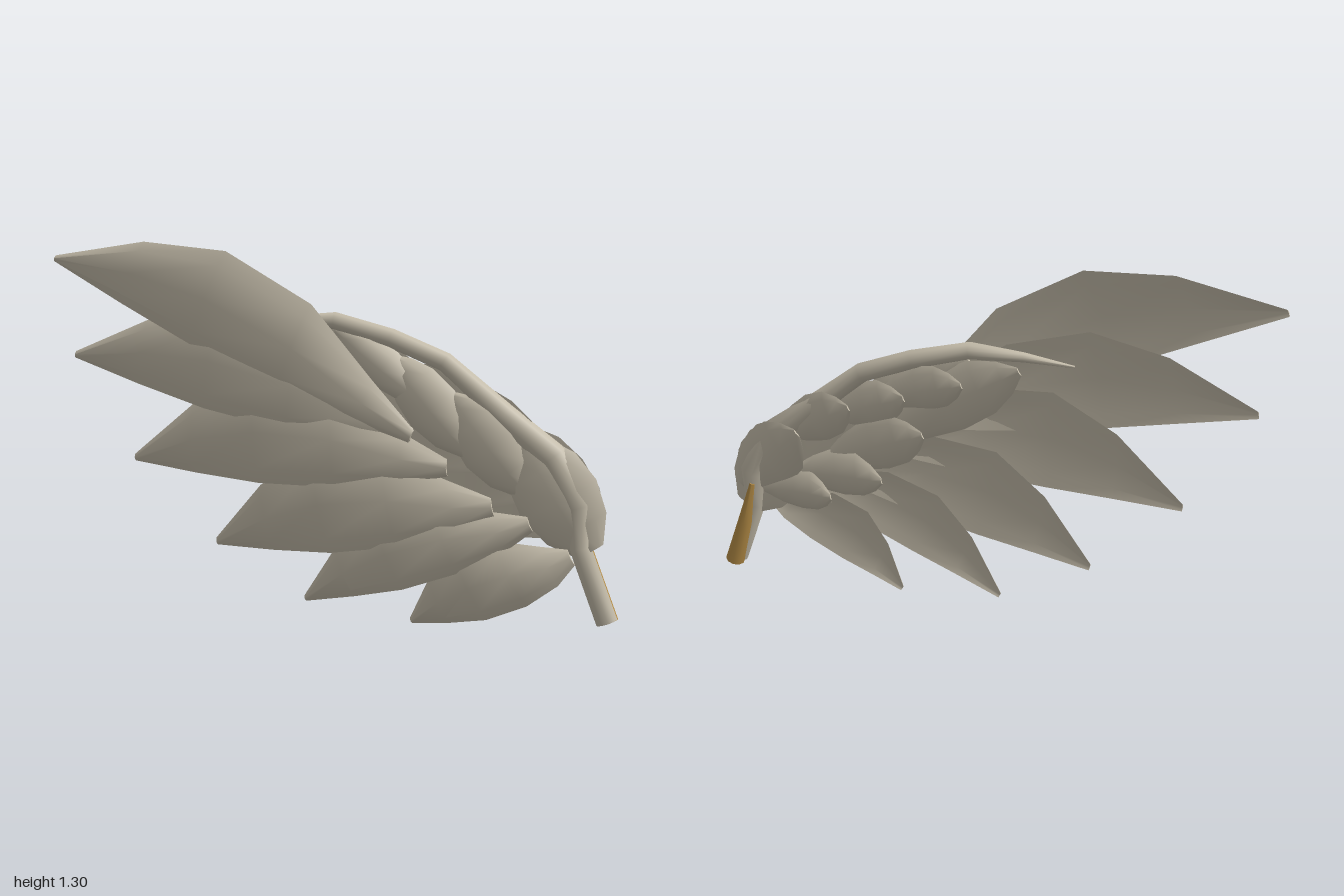
import * as THREE from 'three';
import { toCreasedNormals } from 'three/addons/utils/BufferGeometryUtils.js';

const V = (x, y, z) => new THREE.Vector3(x, y, z);

// Skin a list of equal-sized rings and close both ends
function loft(rings, crease) {
  const n = rings[0].length, pos = [], idx = [];
  rings.forEach(r => r.forEach(p => pos.push(p.x, p.y, p.z)));
  for (let i = 0; i < rings.length - 1; i++) {
    for (let j = 0; j < n; j++) {
      const a = i * n + j, b = i * n + (j + 1) % n;
      idx.push(a, b, a + n, b, b + n, a + n);
    }
  }
  [0, rings.length - 1].forEach((i, end) => {
    const c = rings[i].reduce((s, p) => s.add(p), V(0, 0, 0)).divideScalar(n);
    const k = pos.length / 3;
    pos.push(c.x, c.y, c.z);
    for (let j = 0; j < n; j++) {
      const a = i * n + j, b = i * n + (j + 1) % n;
      if (end) idx.push(k, a, b); else idx.push(k, b, a);
    }
  });
  const g = new THREE.BufferGeometry();
  g.setAttribute('position', new THREE.Float32BufferAttribute(pos, 3));
  g.setIndex(idx);
  return toCreasedNormals(g, crease);
}

// Outline profiles: [position along the feather, upper width, lower width, thickness]
const LONG = [[0, 0.1, 0.4, 0.5], [0.13, 0.4, 0.8, 0.8], [0.33, 0.88, 1, 1],
  [0.57, 1, 0.9, 1], [0.78, 0.68, 0.55, 0.8], [1, 0.06, 0.12, 0.3]];
const SHORT = [[0, 0.35, 0.35, 0.5], [0.2, 0.8, 0.8, 0.9], [0.45, 1, 1, 1],
  [0.7, 0.9, 0.9, 0.9], [0.88, 0.55, 0.55, 0.6], [1, 0.14, 0.14, 0.2]];

// Leaf-shaped feather lofted from root to tip, bowed and cambered in z
function feather(root, tip, up, low, { profile, bow, front, back, camber }) {
  const d = V(tip.x - root.x, tip.y - root.y, 0).normalize();
  const side = V(-d.y, d.x, 0);
  const rings = profile.map(([t, u, l, h]) => {
    const c = root.clone().lerp(tip, t);
    c.z += bow * Math.sin(Math.PI * t);
    const mid = (l * low - u * up) / 2, half = (l * low + u * up) / 2;
    return Array.from({ length: 8 }, (_, j) => {
      const a = j * Math.PI / 4, s = Math.cos(a), b = Math.sin(a);
      const p = c.clone().addScaledVector(side, mid + half * s);
      p.z += h * (b * (b > 0 ? front : back) - camber * s * s);
      return p;
    });
  });
  return loft(rings, 0.9);
}

// Tapered limb through points [x, y, z, radius]
function limb(points, sides) {
  const pts = points.map(p => V(p[0], p[1], p[2]));
  const rings = pts.map((p, i) => {
    const d = pts[Math.min(i + 1, pts.length - 1)].clone().sub(pts[Math.max(i - 1, 0)]).normalize();
    const n = V(-d.y, d.x, 0).normalize();
    const b = d.clone().cross(n);
    return Array.from({ length: sides }, (_, j) => {
      const a = j * 2 * Math.PI / sides, r = points[i][3];
      return p.clone().addScaledVector(n, r * Math.cos(a)).addScaledVector(b, r * Math.sin(a));
    });
  });
  return loft(rings, 0.9);
}

export function createModel() {
  const wing = new THREE.Group();
  wing.name = 'wing';
  const plumage = new THREE.MeshStandardMaterial({ color: 0xc4bcaa });
  plumage.name = 'pale plumage';
  const bone = new THREE.MeshStandardMaterial({ color: 0xb48c46 });
  bone.name = 'tan bone';
  const add = (name, geometry, material = plumage) => {
    const m = new THREE.Mesh(geometry, material);
    m.name = name;
    wing.add(m);
  };

  // Long flight feathers: root xyz, tip xyz, upper width, lower width, bow
  [
    [0.33, 0.665, 0.105, -0.99, 1.23, 0.12, 0.31, 0.04, 0.07],
    [0.33, 0.67, 0.09, -0.93, 0.89, 0.095, 0.28, 0.07, 0.07],
    [0.45, 0.57, 0.08, -0.71, 0.525, 0.07, 0.3, 0.07, 0.065],
    [0.6, 0.45, 0.06, -0.4, 0.24, 0.05, 0.27, 0.09, 0.06],
    [0.72, 0.4, 0.04, -0.07, 0.06, 0.03, 0.2, 0.08, 0.055],
    [0.85, 0.3, 0.015, 0.31, 0.015, 0.005, 0.16, 0.1, 0.055],
  ].forEach(([rx, ry, rz, tx, ty, tz, up, low, bow], i) => add('flightFeather' + (i + 1),
    feather(V(rx, ry, rz), V(tx, ty, tz), up, low,
      { profile: LONG, bow, front: 0.014, back: 0.004, camber: 0.02 })));

  // Arm along the leading edge, from the shoulder stub to the pointed end
  add('arm', limb([
    [0.963, 0.055, -0.085, 0.037], [0.868, 0.3, -0.085, 0.037], [0.86, 0.44, -0.09, 0.05],
    [0.77, 0.6, -0.09, 0.05], [0.6, 0.73, -0.095, 0.042], [0.39, 0.9, -0.098, 0.034],
    [0.2, 0.975, -0.093, 0.033], [0, 1.03, -0.075, 0.03], [-0.18, 1.025, -0.05, 0.017],
    [-0.345, 1.005, -0.017, 0.004]], 10));

  // Bone set into the back of the shoulder stub
  add('shoulderBone', limb([
    [0.963, 0.05, -0.11, 0.036], [0.9, 0.23, -0.118, 0.027], [0.85, 0.4, -0.127, 0.01]], 10), bone);

  // Overlapping front coverts: root xy, tip xy, half width
  [
    [0.9, 0.29, 0.66, 0.66, 0.145],
    [0.68, 0.48, 0.42, 0.79, 0.115],
    [0.48, 0.6, 0.2, 0.91, 0.1],
    [0.33, 0.76, 0.0, 1.0, 0.075],
  ].forEach(([rx, ry, tx, ty, w], i) => add('frontCovert' + (i + 1),
    feather(V(rx, ry, -0.085), V(tx, ty, -0.085), w, w,
      { profile: SHORT, bow: 0.012, front: 0.035, back: 0.02, camber: 0.012 })));

  // Back coverts with tips flaring out: root xy, tip xyz, half width
  const backRow = (name, rows) => rows.forEach(([rx, ry, tx, ty, tz, w], i) => add(name + (i + 1),
    feather(V(rx, ry, -0.095), V(tx, ty, tz), w, w,
      { profile: SHORT, bow: 0.025, front: 0.01, back: 0.025, camber: -0.012 })));
  backRow('upperBackCovert', [
    [0.92, 0.38, 0.61, 0.67, -0.19, 0.12],
    [0.72, 0.62, 0.4, 0.8, -0.19, 0.09],
    [0.52, 0.72, 0.2, 0.86, -0.17, 0.085],
    [0.32, 0.82, -0.02, 0.95, -0.19, 0.08],
  ]);
  backRow('lowerBackCovert', [
    [0.82, 0.38, 0.5, 0.43, -0.165, 0.085],
    [0.67, 0.47, 0.29, 0.54, -0.175, 0.09],
    [0.52, 0.56, 0.13, 0.74, -0.175, 0.1],
    [0.3, 0.7, -0.2, 1.01, -0.14, 0.11],
  ]);

  return wing;
}
